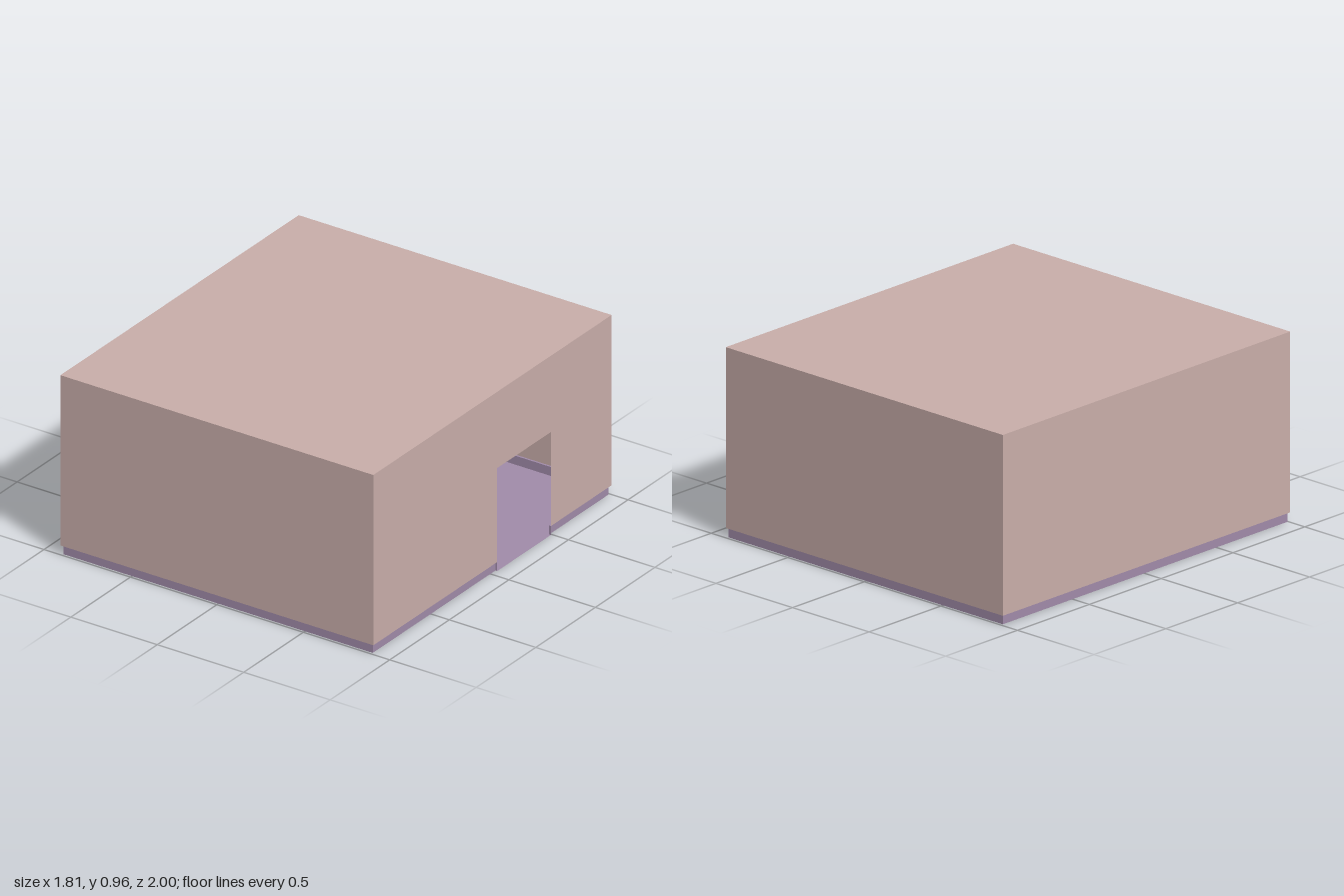
import * as THREE from 'three';

const W = 0.905, D = 1, H = 0.965;        // half width, half depth, ceiling height
const SKIRT = 0.05, INSET = 0.01;         // skirting height and depth
const FLOOR = 0.002;
const DOOR = { a: 0.04, b: 0.49, top: 0.555 }; // measured along -z

export function createModel() {
  const room = new THREE.Group();
  room.name = 'room';

  const mat = (name, color, side = THREE.DoubleSide) => {
    const m = new THREE.MeshStandardMaterial({ color, side });
    m.name = name;
    return m;
  };
  const wallPaint = mat('wallPaint', 0xc9aeaa);
  const lavender = mat('lavenderTrim', 0xa18ba9);
  const darkWood = mat('darkWood', 0x4d0a2e, THREE.FrontSide);

  const add = (parent, name, geometry, material) => {
    const mesh = new THREE.Mesh(geometry, material);
    mesh.name = name;
    parent.add(mesh);
    return mesh;
  };
  const polygon = (pts) =>
    new THREE.ShapeGeometry(new THREE.Shape(pts.map(([x, y]) => new THREE.Vector2(x, y))));
  // horizontal rectangle facing up
  const slab = (x0, x1, z0, z1, y) =>
    new THREE.PlaneGeometry(x1 - x0, z1 - z0).rotateX(-Math.PI / 2)
      .translate((x0 + x1) / 2, y, (z0 + z1) / 2);

  // Thin wall shells and ceiling
  const plainWall = (half) => polygon([[-half, SKIRT], [half, SKIRT], [half, H], [-half, H]]);
  add(room, 'frontWall', plainWall(W).translate(0, 0, D), wallPaint);
  add(room, 'backWall', plainWall(W).rotateY(Math.PI).translate(0, 0, -D), wallPaint);
  add(room, 'rightWall', plainWall(D).rotateY(-Math.PI / 2).translate(-W, 0, 0), wallPaint);
  add(room, 'doorWall', polygon([
    [-D, SKIRT], [DOOR.a, SKIRT], [DOOR.a, DOOR.top], [DOOR.b, DOOR.top],
    [DOOR.b, SKIRT], [D, SKIRT], [D, H], [-D, H],
  ]).rotateY(Math.PI / 2).translate(W, 0, 0), wallPaint);
  add(room, 'ceiling', slab(-W, W, -D, D, H), wallPaint);

  // Floor with threshold in the doorway
  const iw = W - INSET, id = D - INSET;
  add(room, 'floor', slab(-iw, iw, -id, id, FLOOR), lavender);
  add(room, 'threshold', slab(iw, W, -DOOR.b, -DOOR.a, FLOOR), lavender);

  // Skirting: an upright face set inside the wall, topped by a small ledge
  const skirting = new THREE.Group();
  skirting.name = 'skirting';
  room.add(skirting);
  const upright = (from, to) =>
    polygon([[from, FLOOR], [to, FLOOR], [to, SKIRT], [from, SKIRT]]);
  for (const s of [-1, 1]) {
    add(skirting, 'skirtingFace', upright(-iw, iw).translate(0, 0, s * id), lavender);
    add(skirting, 'skirtingLedge',
      slab(-W, W, Math.min(s * id, s * D), Math.max(s * id, s * D), SKIRT), lavender);
  }
  add(skirting, 'skirtingFace', upright(-id, id).rotateY(-Math.PI / 2).translate(-iw, 0, 0), lavender);
  add(skirting, 'skirtingLedge', slab(-W, -iw, -id, id, SKIRT), lavender);
  for (const [from, to] of [[-id, DOOR.a], [DOOR.b, id]]) {
    add(skirting, 'skirtingFace', upright(from, to).rotateY(Math.PI / 2).translate(iw, 0, 0), lavender);
    add(skirting, 'skirtingLedge', slab(iw, W, -to, -from, SKIRT), lavender);
  }
  // Skirting ends at the door jambs
  for (const z of [-DOOR.a, -DOOR.b])
    add(skirting, 'skirtingEnd', upright(iw, W).translate(0, 0, z), lavender);

  // Desk inside the room
  const desk = new THREE.Group();
  desk.name = 'desk';
  room.add(desk);
  const box = (name, x0, x1, y0, y1, z0, z1) =>
    add(desk, name, new THREE.BoxGeometry(x1 - x0, y1 - y0, z1 - z0)
      .translate((x0 + x1) / 2, (y0 + y1) / 2, (z0 + z1) / 2), darkWood);
  box('deskTop', -0.25, 0.31, 0.19, 0.21, -0.68, -0.44);
  box('drawerCabinet', -0.25, 0.06, 0, 0.19, -0.68, -0.445);
  box('deskLeg', 0.29, 0.31, 0, 0.19, -0.68, -0.445);
  box('modestyPanel', 0.06, 0.29, 0.002, 0.19, -0.455, -0.445);

  return room;
}
